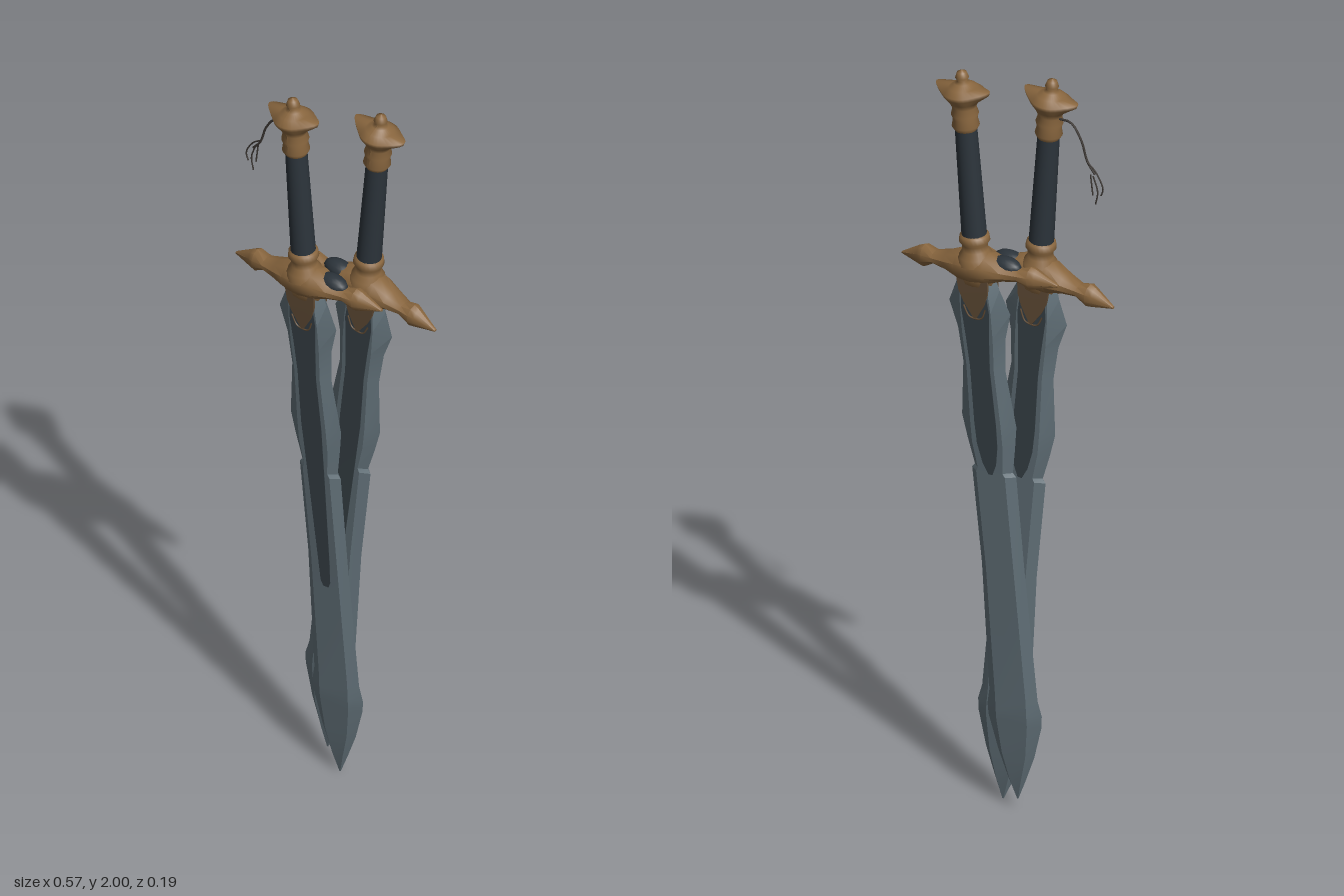
import * as THREE from 'three';
import { toCreasedNormals } from 'three/addons/utils/BufferGeometryUtils.js';

const V = (x, y, z) => new THREE.Vector3(x, y, z);
const material = (name, color, side = THREE.FrontSide) => {
  const m = new THREE.MeshStandardMaterial({ color, side });
  m.name = name;
  return m;
};

// Skin a list of rings and close both ends
function loft(rings, crease = 0.5) {
  const n = rings[0].length, pos = [], index = [];
  rings.forEach(r => r.forEach(p => pos.push(p.x, p.y, p.z)));
  for (let i = 0; i < rings.length - 1; i++) {
    for (let j = 0; j < n; j++) {
      const a = i * n + j, b = i * n + (j + 1) % n;
      index.push(a, b, b + n, a, b + n, a + n);
    }
  }
  const last = (rings.length - 1) * n;
  for (let j = 1; j < n - 1; j++) {
    index.push(0, j + 1, j, last, last + j, last + j + 1);
  }
  const g = new THREE.BufferGeometry();
  g.setAttribute('position', new THREE.Float32BufferAttribute(pos, 3));
  g.setIndex(index);
  return toCreasedNormals(g, crease);
}

// Blade stations: height, half width, half thickness, sideways bow
const BLADE = [
  [-0.55, 0.05, 0.021, 0], [-0.59, 0.063, 0.021, 0], [-0.65, 0.09, 0.02, 0],
  [-0.72, 0.07, 0.019, 0], [-0.81, 0.062, 0.018, 0], [-0.96, 0.08, 0.017, 0.002],
  [-1.02, 0.07, 0.017, 0.003], [-1.09, 0.056, 0.016, 0.005], [-1.1, 0.065, 0.016, 0.005],
  [-1.36, 0.063, 0.015, 0.01], [-1.71, 0.071, 0.014, 0.011], [-1.75, 0.08, 0.016, 0.011],
  [-1.78, 0.078, 0.015, 0.01], [-1.87, 0.053, 0.012, 0.006], [-1.94, 0.026, 0.008, 0.002],
  [-1.995, 0.002, 0.001, 0],
];

// Interpolate blade thickness and bow at a height
function bladeAt(y) {
  let i = 1;
  while (i < BLADE.length - 1 && BLADE[i][0] > y) i++;
  const a = BLADE[i - 1], b = BLADE[i], k = (y - a[0]) / (b[0] - a[0]);
  return { t: a[2] + (b[2] - a[2]) * k, c: a[3] + (b[3] - a[3]) * k };
}

function bladeGeometry(s) {
  return loft(BLADE.map(([y, w, t, c]) => {
    const f = Math.min(0.045, w * 0.65), cx = c * s;
    return [[w, 0], [f, t], [-f, t], [-w, 0], [-f, -t], [f, -t]].map(([x, z]) => V(cx + x, y, z));
  }), 0.25);
}

// Thin inlay following the blade face; rows are [height, half width]
function inlayGeometry(rows, s, face, lift) {
  return loft(rows.map(([y, w]) => {
    const { t, c } = bladeAt(y), outer = face * (t + lift), inner = face * (t - 0.002);
    const z0 = Math.min(outer, inner), z1 = Math.max(outer, inner);
    return [[w, z0], [w, z1], [-w, z1], [-w, z0]].map(([x, z]) => V(c * s + x, y, z));
  }));
}

// Guard half stations: distance, half height, half depth
const ARM = [
  [0, 0.045, 0.046], [0.04, 0.04, 0.044], [0.08, 0.024, 0.034], [0.12, 0.016, 0.024],
  [0.15, 0.03, 0.026], [0.165, 0.026, 0.02], [0.22, 0.003, 0.004],
];

function guardGeometry(s) {
  const left = ARM.slice(1).reverse().map(([x, h, d]) => [-x, h, d]);
  return loft([...left, ...ARM].map(([x, h, d]) => {
    const yc = -0.535 - 0.35 * x * x, zc = x * s > 0 ? -0.12 * x : 0;
    return Array.from({ length: 10 }, (_, j) => {
      const a = j / 10 * Math.PI * 2;
      return V(x, yc + Math.cos(a) * h, zc + Math.sin(a) * d);
    });
  }), 0.7);
}

const lathe = (pts, n = 24) => new THREE.LatheGeometry(pts.map(p => new THREE.Vector2(...p)), n);

// Pommel: turned shape with the rim drawn out into two upswept points
function pommelGeometry() {
  const g = lathe([
    [0.027, -0.162], [0.034, -0.15], [0.03, -0.13], [0.034, -0.118], [0.029, -0.1],
    [0.036, -0.085], [0.048, -0.068], [0.05, -0.058], [0.035, -0.045], [0.02, -0.035],
    [0.012, -0.03], [0.017, -0.02], [0.012, -0.006], [0, 0],
  ], 32);
  const p = g.attributes.position;
  for (let i = 0; i < p.count; i++) {
    const x = p.getX(i), y = p.getY(i), r = Math.hypot(x, p.getZ(i));
    if (r > 0.04) {
      const k = Math.pow(Math.abs(x) / r, 6);
      p.setX(i, x * (1 + 0.55 * k));
      p.setY(i, y + 0.012 * k);
    }
  }
  g.computeVertexNormals();
  return g;
}

export function createModel() {
  const steel = material('steel', 0x64737b);
  const darkSteel = material('dark steel', 0x3a444a);
  const bronze = material('bronze', 0x8a673f);
  const agedBronze = material('aged bronze', 0x665039);
  const leather = material('dark leather', 0x2c343b);
  const cord = material('cord', 0x3f3a36);

  const model = new THREE.Group();
  model.name = 'crossedSwords';

  function sword(name, s, top, tip) {
    const g = new THREE.Group();
    g.name = name;
    const add = (part, geometry, mat) => {
      const m = new THREE.Mesh(geometry, mat);
      m.name = part;
      g.add(m);
      return m;
    };
    add('blade', bladeGeometry(s), steel);

    // Long dark inlay in front, short one behind, with a bronze tongue over each
    const shape = [[-0.58, 0.034], [-0.65, 0.041], [-0.73, 0.034], [-0.81, 0.029], [-0.96, 0.032]];
    const long = [...shape, [-1.1, 0.027], [-1.36, 0.018], [-1.42, 0.015], [-1.435, 0.008]];
    const short = [...shape, [-1.02, 0.03], [-1.07, 0.02], [-1.1, 0.006]];
    [[long, 1], [short, -1]].forEach(([rows, face]) => {
      add('fuller', inlayGeometry(rows, s, face, 0.001), darkSteel);
      add('langet', inlayGeometry([[-0.56, 0.046], [-0.6, 0.042], [-0.63, 0.03], [-0.67, 0.004]], s, face, 0.004), agedBronze);
      // Curled wire ornament
      const curl = new THREE.CatmullRomCurve3([
        [-0.032, -0.64], [-0.018, -0.668], [0, -0.672], [0.018, -0.668], [0.032, -0.64],
      ].map(([x, y]) => V(x, y, face * (bladeAt(y).t + 0.002))));
      add('filigree', new THREE.TubeGeometry(curl, 16, 0.0022, 5), agedBronze);
    });

    // Hilt
    add('guard', guardGeometry(s), bronze);
    add('guardCollar', lathe([
      [0.046, -0.525], [0.043, -0.505], [0.032, -0.49], [0.031, -0.475], [0.038, -0.465], [0.036, -0.45], [0.026, -0.445],
    ]), bronze);
    add('bladeSocket', lathe([[0.02, -0.6], [0.05, -0.58], [0.058, -0.55], [0.04, -0.53]], 16), bronze).scale.z = 0.55;
    const grip = add('grip', new THREE.CylinderGeometry(0.027, 0.031, 0.32, 20), leather);
    grip.position.y = -0.305;
    add('pommel', pommelGeometry(), bronze);

    // Leather wrap on the inner arm
    const wrap = add('guardWrap', new THREE.SphereGeometry(1, 16, 8), leather);
    wrap.scale.set(0.045, 0.024, 0.026);
    wrap.position.set(s * 0.075, -0.525, -s * 0.014);

    g.position.copy(top);
    g.quaternion.setFromUnitVectors(V(0, 1, 0), top.clone().sub(tip).normalize());
    g.scale.y = top.distanceTo(tip) / 1.995;
    model.add(g);
  }
  sword('frontSword', 1, V(-0.1, 2, 0.047), V(0.021, 0, 0.012));
  sword('backSword', -1, V(0.105, 2, -0.042), V(-0.04, 0.03, -0.013));

  // Frayed cord hanging from the front sword's pommel
  const tassel = new THREE.Group();
  tassel.name = 'tassel';
  [
    [[-0.125, 1.9], [-0.16, 1.9], [-0.19, 1.86], [-0.207, 1.81], [-0.23, 1.78]],
    [[-0.21, 1.81], [-0.235, 1.79], [-0.256, 1.75], [-0.25, 1.73]],
    [[-0.23, 1.78], [-0.243, 1.74], [-0.237, 1.705]],
    [[-0.225, 1.785], [-0.228, 1.76], [-0.232, 1.73]],
  ].forEach((pts, i) => {
    const path = new THREE.CatmullRomCurve3(pts.map(([x, y]) => V(x, y, 0.04 - i * 0.004)));
    const strand = new THREE.Mesh(new THREE.TubeGeometry(path, 14, i ? 0.002 : 0.003, 5), cord);
    strand.name = 'strand';
    tassel.add(strand);
  });
  model.add(tassel);
  return model;
}
